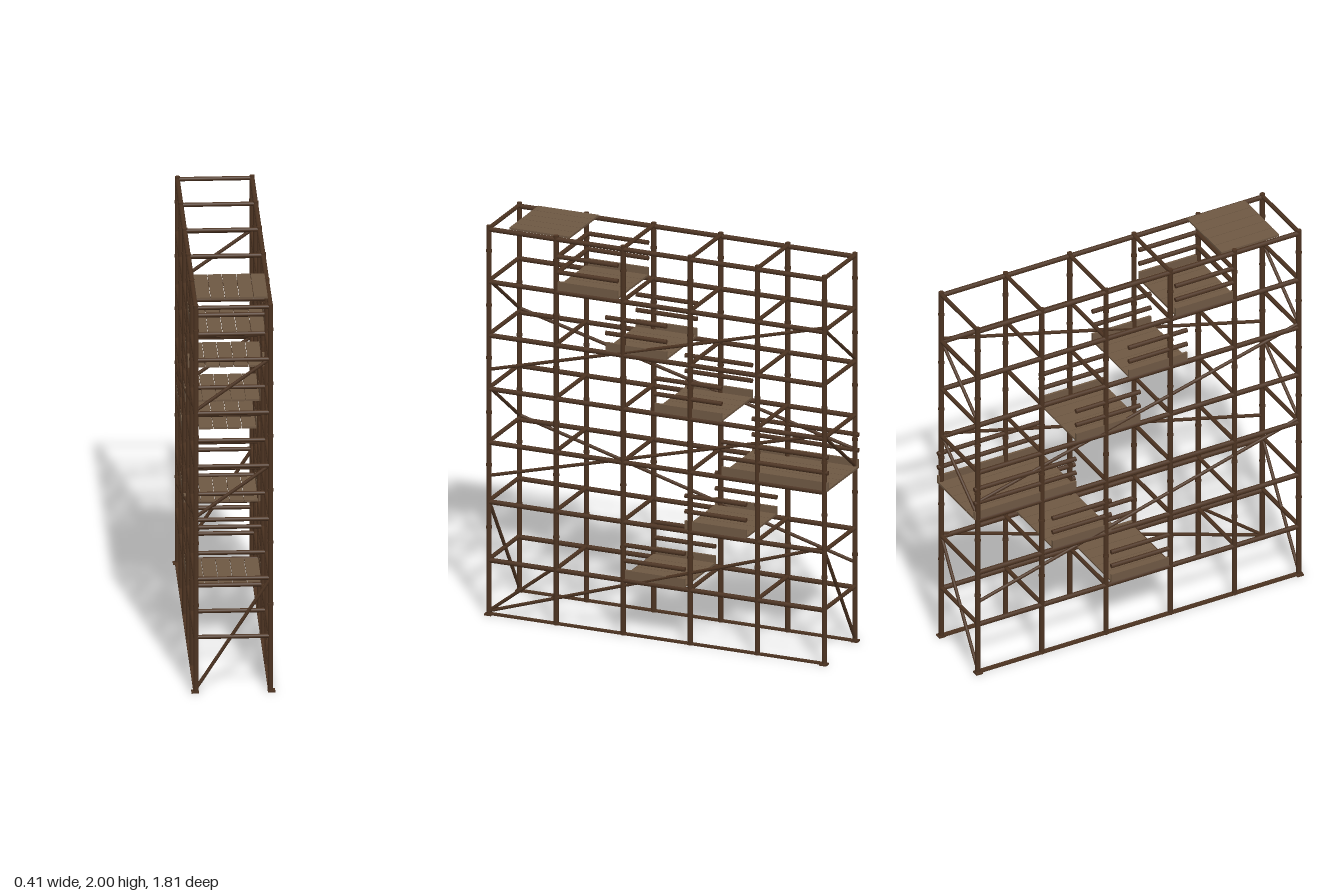
import * as THREE from 'three';

export function createModel() {
  const model = new THREE.Group();
  model.name = 'scaffoldTower';
  const tubeBrown = new THREE.MeshStandardMaterial({ name: 'tubeBrown', color: 0x4c3321 });
  const plankBrown = new THREE.MeshStandardMaterial({ name: 'plankBrown', color: 0x6e5843 });

  const X = 0.181; // half width between post rows
  const Z = 0.888; // half length between end posts
  const bays = Array.from({ length: 6 }, (_, i) => Z - (i * 2 * Z) / 5);
  const levels = [0.28, 0.58, 0.885, 1.16, 1.435, 1.71, 1.98];
  const up = new THREE.Vector3(0, 1, 0);

  // round tube between two points
  function tube(name, a, b, r) {
    const p = new THREE.Vector3(...a);
    const q = new THREE.Vector3(...b);
    const mesh = new THREE.Mesh(new THREE.CylinderGeometry(r, r, p.distanceTo(q), 10), tubeBrown);
    mesh.name = name;
    mesh.position.copy(p).add(q).multiplyScalar(0.5);
    mesh.quaternion.setFromUnitVectors(up, q.sub(p).normalize());
    model.add(mesh);
  }

  function box(name, size, pos, material) {
    const mesh = new THREE.Mesh(new THREE.BoxGeometry(...size), material);
    mesh.name = name;
    mesh.position.set(...pos);
    model.add(mesh);
  }

  // posts with couplers, ledgers, sole strips and corner plates on both sides
  for (const x of [-X, X]) {
    for (const z of bays) {
      tube('post', [x, 0, z], [x, 2, z], 0.013);
      for (const y of [0.45, 0.77, 1.04, 1.32, 1.59, 1.87]) {
        tube('coupler', [x, y - 0.006, z], [x, y + 0.006, z], 0.0155);
      }
    }
    for (const y of levels) tube('ledger', [x, y, -Z], [x, y, Z], 0.0125);
    box('soleStrip', [0.025, 0.008, 1.81], [x, 0.006, 0], tubeBrown);
    for (const z of [-Z, Z]) {
      box('basePlate', [0.036, 0.008, 0.036], [x + Math.sign(x) * 0.004, 0.004, z], tubeBrown);
    }
  }

  // cross tubes at every post pair
  for (const y of levels) {
    for (const z of bays) tube('transom', [-X, y + 0.006, z], [X, y + 0.006, z], 0.0105);
  }

  // stepped plank decks: front and rear z for each level
  const decks = [
    [0.175, -0.15], [-0.15, -0.475], [-0.345, -0.908], [0.01, -0.345],
    [0.27, -0.053], [0.535, 0.205], [0.785, 0.465],
  ];
  decks.forEach(([front, rear], i) => {
    const y = levels[i];
    const length = front - rear;
    const mid = (front + rear) / 2;
    for (let k = -2; k <= 2; k++) {
      box('deckPlank', [0.0665, 0.01, length], [k * 0.0695, y + 0.015, mid], plankBrown);
    }
    if (i === decks.length - 1) return; // top deck has no guard rails
    for (const x of [-X, X]) {
      box('toeBoard', [0.012, 0.045, length], [x, y + 0.032, mid], plankBrown);
      for (const h of [0.102, 0.182]) {
        tube('guardRail', [x, y + h, front], [x, y + h, rear], 0.0115);
      }
    }
  });

  // end guard rails on the highest railed deck
  for (const h of [0.102, 0.182]) {
    tube('endGuardRail', [-X, 1.71 + h, 0.525], [X, 1.71 + h, 0.525], 0.0115);
  }

  // long braces: x side, y at the front, y at the rear
  const braces = [
    [X, 0.02, 0.6], [X, 0.715, 1.18], [X, 1.26, 1.73],
    [-X, 0.907, 0.41], [-X, 1.457, 0.99],
  ];
  for (const [x, yFront, yRear] of braces) {
    tube('sideBrace', [x, yFront, Z], [x, yRear, -Z], 0.0085);
  }
  tube('footBrace', [X, 0.02, Z], [X, 0.28, 0.555], 0.0085);

  // diagonal braces across both ends
  for (const z of [-Z, Z]) {
    for (const [y0, y1] of [[0.02, 0.585], [0.907, 1.17], [1.457, 1.72]]) {
      tube('endBrace', [-X, y0, z], [X, y1, z], 0.0085);
    }
  }
  return model;
}
